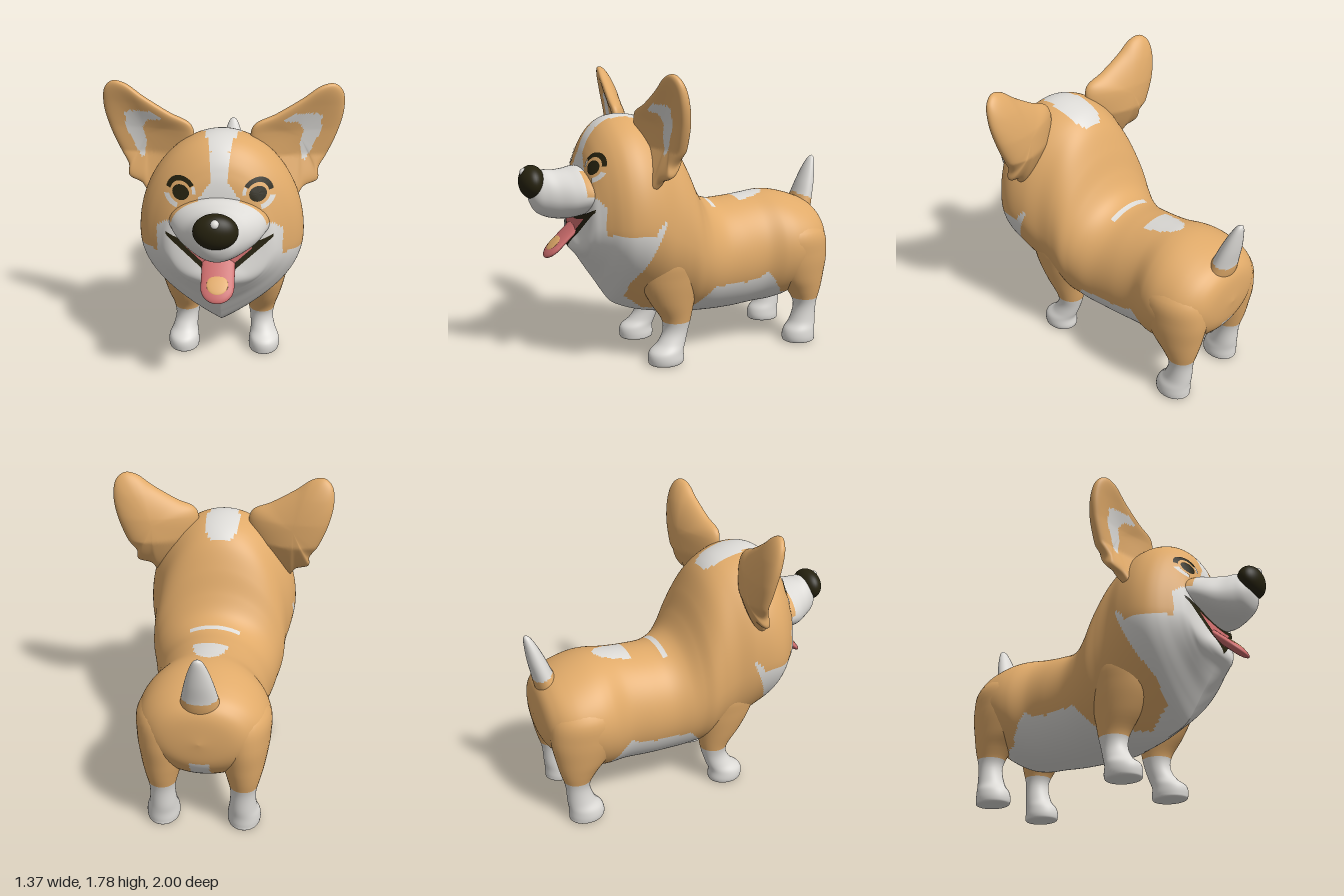
import * as THREE from 'three';

const mat = (name, color) => {
  const m = new THREE.MeshStandardMaterial({ color });
  m.name = name;
  return m;
};

// Piecewise linear lookup in a list of [x, y] pairs.
function lookup(pairs, x) {
  if (x <= pairs[0][0]) return pairs[0][1];
  for (let i = 1; i < pairs.length; i++) {
    const [x0, y0] = pairs[i - 1], [x1, y1] = pairs[i];
    if (x <= x1) return y0 + (y1 - y0) * (x - x0) / (x1 - x0);
  }
  return pairs[pairs.length - 1][1];
}

// Closed skin from rings point(u, v); paint(centre, u) picks a material index per quad.
function skin(name, point, nu, nv, mats, paint) {
  const pos = [], lists = mats.map(() => []);
  for (let i = 0; i <= nu; i++) for (let j = 0; j < nv; j++) pos.push(...point(i / nu, j / nv));
  const centre = new THREE.Vector3(), p = new THREE.Vector3();
  for (let i = 0; i < nu; i++) for (let j = 0; j < nv; j++) {
    const k = (j + 1) % nv;
    const a = i * nv + j, b = i * nv + k, c = b + nv, d = a + nv;
    centre.set(0, 0, 0);
    for (const q of [a, b, c, d]) centre.addScaledVector(p.fromArray(pos, q * 3), 0.25);
    lists[paint(centre, (i + 0.5) / nu)].push(a, b, c, a, c, d);
  }
  const g = new THREE.BufferGeometry();
  g.setAttribute('position', new THREE.Float32BufferAttribute(pos, 3));
  g.setIndex(lists.flat());
  let start = 0;
  lists.forEach((l, i) => { if (l.length) g.addGroup(start, l.length, i); start += l.length; });
  g.computeVertexNormals();
  const mesh = new THREE.Mesh(g, mats);
  mesh.name = name;
  return mesh;
}

// Smooth interpolation of rows of numbers, five or six per row.
function rows(table) {
  const curve = (k) => new THREE.CatmullRomCurve3(
    table.map((r) => new THREE.Vector3(r[k], r[k + 1], r[k + 2] ?? 0)), false, 'catmullrom', 0.5);
  const a = curve(0), b = curve(3);
  return (u) => [...a.getPoint(u).toArray(), ...b.getPoint(u).toArray()];
}

// Egg-shaped section: z, top, bottom, half width, height of widest point, sharpness of the keel.
const eggRing = (at) => (u, v) => {
  const [z, top, bot, w, f, keel] = at(u), mid = bot + (top - bot) * f;
  const c = Math.cos(v * Math.PI * 2), s = Math.sin(v * Math.PI * 2);
  return [w * Math.sign(c) * Math.abs(c) ** (s > 0 ? 1 : keel), mid + s * (s > 0 ? top - mid : mid - bot), z];
};

// Elliptical section across y: row is y, x, z, x radius, z radius.
const legRing = (at, side) => (u, v) => {
  const [y, x, z, rx, rz] = at(u), a = v * Math.PI * 2;
  return [side * x + rx * Math.cos(a), y, z - rz * Math.sin(a)];
};

const bodyAt = rows([
  [-0.985, 0.66, 0.66, 0, 0.5, 1], [-0.965, 0.82, 0.52, 0.2, 0.5, 1], [-0.91, 0.895, 0.43, 0.3, 0.52, 1],
  [-0.82, 0.94, 0.35, 0.365, 0.52, 1], [-0.7, 0.975, 0.28, 0.385, 0.53, 1], [-0.6, 0.985, 0.255, 0.375, 0.52, 1],
  [-0.48, 0.975, 0.245, 0.335, 0.5, 1], [-0.33, 0.96, 0.235, 0.342, 0.5, 1], [-0.2, 0.96, 0.235, 0.355, 0.5, 1],
  [-0.1, 1.01, 0.24, 0.38, 0.5, 1], [-0.03, 1.12, 0.24, 0.4, 0.49, 1.05], [0.03, 1.26, 0.24, 0.42, 0.47, 1.1],
  [0.1, 1.39, 0.25, 0.425, 0.46, 1.2], [0.18, 1.465, 0.26, 0.435, 0.47, 1.35], [0.28, 1.505, 0.28, 0.465, 0.5, 1.6],
  [0.38, 1.52, 0.315, 0.478, 0.5, 1.85], [0.46, 1.51, 0.36, 0.465, 0.48, 1.95], [0.52, 1.48, 0.44, 0.43, 0.45, 1.9],
  [0.57, 1.43, 0.52, 0.38, 0.43, 1.75], [0.61, 1.36, 0.58, 0.335, 0.42, 1.5], [0.64, 1.25, 0.63, 0.3, 0.43, 1.25],
  [0.665, 1.0, 0.67, 0.25, 0.5, 1.1], [0.69, 0.86, 0.70, 0.175, 0.5, 1], [0.71, 0.80, 0.725, 0.1, 0.5, 1],
  [0.72, 0.757, 0.757, 0, 0.5, 1]]);

const muzzleAt = rows([
  [0.5, 1.15, 0.98, 0.24, 0.45, 1], [0.6, 1.2, 0.95, 0.28, 0.45, 1], [0.66, 1.22, 0.935, 0.268, 0.45, 1],
  [0.73, 1.21, 0.92, 0.232, 0.45, 1], [0.8, 1.205, 0.92, 0.18, 0.45, 1], [0.86, 1.21, 0.935, 0.14, 0.45, 1],
  [0.91, 1.19, 0.965, 0.105, 0.45, 1], [0.94, 1.14, 1.02, 0.06, 0.45, 1], [0.95, 1.08, 1.08, 0, 0.45, 1]]);

const frontLegAt = rows([
  [0, 0.255, 0.19, 0, 0], [0, 0.255, 0.19, 0.08, 0.095], [0.025, 0.258, 0.19, 0.097, 0.113],
  [0.08, 0.258, 0.188, 0.094, 0.108], [0.13, 0.25, 0.15, 0.078, 0.088], [0.2, 0.24, 0.12, 0.073, 0.08],
  [0.28, 0.24, 0.115, 0.085, 0.095], [0.4, 0.248, 0.145, 0.11, 0.145], [0.55, 0.258, 0.165, 0.132, 0.195],
  [0.7, 0.262, 0.17, 0.14, 0.2], [0.85, 0.23, 0.16, 0.08, 0.1], [0.9, 0.2, 0.16, 0, 0]]);

const hindLegAt = rows([
  [0, 0.24, -0.775, 0, 0], [0, 0.24, -0.775, 0.08, 0.095], [0.025, 0.24, -0.77, 0.097, 0.11],
  [0.08, 0.24, -0.775, 0.094, 0.105], [0.14, 0.235, -0.8, 0.08, 0.085], [0.25, 0.235, -0.815, 0.075, 0.075],
  [0.35, 0.235, -0.8, 0.1, 0.115], [0.45, 0.23, -0.765, 0.13, 0.17], [0.6, 0.225, -0.73, 0.157, 0.225],
  [0.75, 0.21, -0.72, 0.16, 0.21], [0.88, 0.17, -0.72, 0.06, 0.08], [0.9, 0.16, -0.72, 0, 0]]);

// Coat markings on the body: 0 tan, 1 white.
const ruffBack = [[0.25, 0.2], [0.43, 0.42], [0.54, 0.43], [0.97, 0.25]];
const cheekLine = [[0.25, 0.97], [0.35, 0.87], [0.44, 0.86], [0.5, 0.9], [0.57, 1.0], [0.62, 1.07], [0.75, 1.08]];
const bellyLine = [[-0.75, 0.33], [-0.62, 0.35], [-0.56, 0.43], [-0.49, 0.52], [-0.43, 0.49], [-0.33, 0.47],
  [-0.1, 0.475], [0, 0.35], [0.2, 0.32]];
const blazeTop = [[0.12, 0.05], [0.14, 0.08], [0.18, 0.098], [0.3, 0.11], [0.45, 0.08], [0.55, 0.06]];
const saddleLine = [[-0.59, 0.02], [-0.57, 0.055], [-0.5, 0.085], [-0.38, 0.11]];
function coat({ x, y, z }) {
  const ax = Math.abs(x);
  const cheek = ax > 0.355 && y > 0.87 && z > 0.33;
  const ruff = !cheek && z > lookup(ruffBack, y) && y < lookup(cheekLine, z);
  const belly = z < 0.45 && y < lookup(bellyLine, z);
  const blazeHalf = z < 0.55 ? lookup(blazeTop, z) : 0.05 + Math.max(0, 1.3 - y) * 0.7;
  const blaze = y > 1.15 && z > 0.12 && ax < blazeHalf;
  const saddle = y > 0.85 && z < -0.38 && z > -0.59 && ax < lookup(saddleLine, z);
  const stripe = y > 0.85 && Math.abs(z + 0.185) < 0.015 && ax < 0.15;
  const seat = z < -0.72 && y < 0.52 && ax < 0.055;
  return ruff || belly || blaze || saddle || stripe || seat ? 1 : 0;
}

// Depth of the face surface at x, y.
function faceZ(x, y) {
  for (let t = 1; t > 0.5; t -= 0.0006) {
    const [z, top, bot, w, f, keel] = bodyAt(t), mid = bot + (top - bot) * f;
    const s = y > mid ? (y - mid) / (top - mid) : (mid - y) / (mid - bot);
    if (s < 1 && w * (1 - s * s) ** (y > mid ? 0.5 : keel / 2) >= Math.abs(x)) return z;
  }
  return 0.5;
}

// Thin painted face detail: place(x, y) gives the spot, the face gives the depth.
function decal(name, geo, material, lift, place) {
  const p = geo.attributes.position;
  for (let i = 0; i < p.count; i++) {
    const [x, y] = place(p.getX(i), p.getY(i));
    p.setXYZ(i, x, y, faceZ(x, y) + lift);
  }
  geo.computeVertexNormals();
  const mesh = new THREE.Mesh(geo, material);
  mesh.name = name;
  return mesh;
}

function insidePolygon(poly, x, y) {
  let inside = false;
  poly.forEach(([x0, y0], i) => {
    const [x1, y1] = poly[(i + 1) % poly.length];
    if ((y0 > y) !== (y1 > y) && x < x0 + (x1 - x0) * (y - y0) / (y1 - y0)) inside = !inside;
  });
  return inside;
}

const earOutline = new THREE.CatmullRomCurve3([
  [0.16, 1.46], [0.18, 1.54], [0.3, 1.6], [0.45, 1.69], [0.55, 1.76], [0.62, 1.772], [0.67, 1.73], [0.685, 1.63],
  [0.66, 1.5], [0.6, 1.35], [0.553, 1.27], [0.55, 1.205], [0.47, 1.17], [0.42, 1.11], [0.32, 1.15], [0.22, 1.3],
].map(([x, y]) => new THREE.Vector3(x, y, 0)), true);
const earWhite = [[0.34, 1.56], [0.4, 1.605], [0.53, 1.6], [0.56, 1.585], [0.56, 1.5], [0.52, 1.41], [0.475, 1.32],
  [0.455, 1.33], [0.44, 1.42], [0.46, 1.5], [0.43, 1.55]];
const earLean = [[1.1, 0.335], [1.2, 0.305], [1.35, 0.265], [1.5, 0.28], [1.65, 0.305], [1.78, 0.33]];

export function createModel() {
  const dog = new THREE.Group();
  dog.name = 'dog';
  const tan = mat('tan fur', 0xe0aa69), white = mat('white fur', 0xdddbd7);
  const dark = mat('dark brown', 0x26220f), pink = mat('pink', 0xcc6c6c);
  const fur = [tan, white];
  const add = (name, geo, material, x, y, z, parent = dog) => {
    const m = new THREE.Mesh(geo, material);
    m.name = name;
    m.position.set(x, y, z);
    parent.add(m);
    return m;
  };

  // Torso, neck and head in one skin, then the muzzle
  dog.add(skin('body', eggRing(bodyAt), 260, 150, fur, coat));
  dog.add(skin('muzzle', eggRing(muzzleAt), 48, 72, fur,
    ({ x, y, z }) => (z < 0.675 && y > 1.08 && Math.abs(x) > 0.11 ? 0 : 1)));

  // Nose with a highlight
  add('nose', new THREE.SphereGeometry(1, 40, 28), dark, 0, 1.143, 0.925).scale.set(0.12, 0.098, 0.075);
  add('noseHighlight', new THREE.SphereGeometry(0.027, 16, 12), white, 0, 1.2, 0.967);

  // Open mouth: dark lips around a pink inside
  const smile = (half, drop, rise) => (u, v) => {
    const x = u * half * 2;
    const top = 0.94 - drop + 0.065 * (x / 0.29) ** 2, bottom = Math.min(top, 0.735 + rise + 0.86 * Math.abs(x));
    return [x, bottom + (top - bottom) * (v + 0.5)];
  };
  dog.add(decal('lips', new THREE.PlaneGeometry(1, 1, 48, 10), dark, 0.005, smile(0.3, 0, 0)));
  dog.add(decal('mouthInside', new THREE.PlaneGeometry(1, 1, 40, 10), pink, 0.009, smile(0.185, 0.025, 0.04)));

  // Tongue
  const tongue = new THREE.Group();
  tongue.name = 'tongue';
  tongue.position.set(0, 0.84, 0.7);
  tongue.rotation.x = -0.82;
  add('tongueBlade', new THREE.CapsuleGeometry(0.093, 0.27, 12, 32), pink, 0, 0, 0, tongue).scale.z = 0.27;
  add('tonguePatch', new THREE.SphereGeometry(1, 24, 12), tan, 0, -0.125, 0.0195, tongue).scale.set(0.06, 0.06, 0.009);
  dog.add(tongue);

  for (const side of [1, -1]) {
    const label = side > 0 ? 'left' : 'right';
    // Eye: pupil, brow and pale lids
    const eyePart = (name, m, inner, outer, from, to, sx, sy) => {
      const start = side > 0 ? from : Math.PI - to;
      dog.add(decal(label + name, new THREE.RingGeometry(inner, outer, 28, 4, start, to - from), m, 0.005,
        (x, y) => [side * 0.212 + x * sx, 1.237 + y * sy]));
    };
    eyePart('Pupil', dark, 0.001, 0.048, 0, Math.PI * 2, 1, 0.85);
    eyePart('Brow', dark, 0.06, 0.086, 0.2, 2.6, 1, 1);
    eyePart('LowerLid', white, 0.068, 0.1, -1.35, -0.25, 1, 0.85);
    eyePart('InnerLid', white, 0.066, 0.085, 2.65, 3.2, 1, 1);

    // Ear: a dished front turned outward and a rounded back inside one outline
    dog.add(skin(label + 'Ear', (u, v) => {
      const p = earOutline.getPoint(side > 0 ? v : 1 - v);
      const r = Math.sin(u * Math.PI), c = Math.cos(u * Math.PI);
      const x = 0.44 + (p.x - 0.44) * r, y = 1.46 + (p.y - 1.46) * r;
      const plane = lookup(earLean, y) + (0.44 - x) * 0.2;
      return [side * x, y, plane + (c > 0 ? 0.1 * c - 0.09 * c * c : 0.085 * c)];
    }, 64, 100, fur, ({ x, y }, u) => (u < 0.5 && insidePolygon(earWhite, Math.abs(x), y) ? 1 : 0)));

    // Legs with white socks
    dog.add(skin(label + 'FrontLeg', legRing(frontLegAt, side), 55, 36, fur, (p) => (p.y < 0.26 ? 1 : 0)));
    dog.add(skin(label + 'HindLeg', legRing(hindLegAt, side), 55, 36, fur, (p) => (p.y < 0.285 ? 1 : 0)));
  }

  // Tail with a white tip
  const tailAt = rows([[0.78, 0, -0.85, 0.13, 0.09], [0.86, 0, -0.885, 0.112, 0.077], [0.93, 0, -0.91, 0.098, 0.063],
    [1.02, 0, -0.936, 0.078, 0.053], [1.11, 0, -0.961, 0.052, 0.037], [1.17, 0, -0.979, 0.026, 0.02],
    [1.19, 0, -0.985, 0, 0]]);
  dog.add(skin('tail', legRing(tailAt, 1), 48, 36, fur, ({ y, z }) => (y - 0.4 * (z + 0.91) > 0.925 ? 1 : 0)));
  return dog;
}
